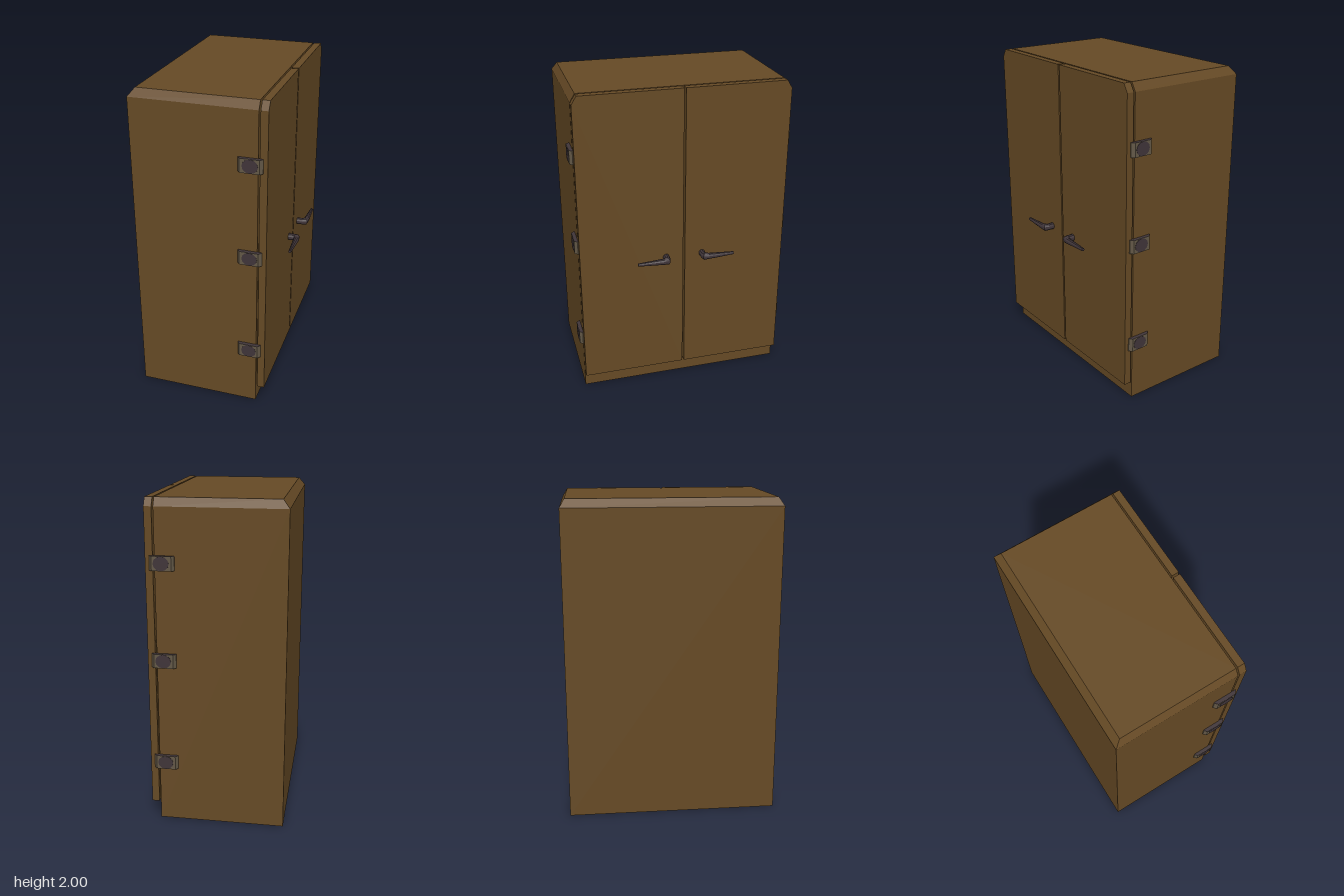
import * as THREE from 'three';

// Flat-shaded skin through equal-length rings of points, capped at the last ring
function loft(rings) {
  const pos = [];
  const tri = (...pts) => pts.forEach((p) => pos.push(...p));
  for (let i = 0; i < rings.length - 1; i++) {
    const a = rings[i], b = rings[i + 1], n = a.length;
    for (let j = 0; j < n; j++) {
      const k = (j + 1) % n;
      tri(a[j], a[k], b[k]);
      tri(a[j], b[k], b[j]);
    }
  }
  const end = rings[rings.length - 1];
  for (let j = 1; j < end.length - 1; j++) tri(end[0], end[j], end[j + 1]);
  const g = new THREE.BufferGeometry();
  g.setAttribute('position', new THREE.Float32BufferAttribute(pos, 3));
  g.computeVertexNormals();
  return g;
}

const rect = (x0, x1, z, y) => [[x0, y, -z], [x0, y, z], [x1, y, z], [x1, y, -z]];
const shape = (pts) => new THREE.Shape(pts.map(([x, y]) => new THREE.Vector2(x, y)));

function add(parent, name, geometry, material, x = 0, y = 0, z = 0) {
  const m = new THREE.Mesh(geometry, material);
  m.name = name;
  m.position.set(x, y, z);
  parent.add(m);
  return m;
}

export function createModel() {
  const brown = new THREE.MeshStandardMaterial({ color: 0x664a25, side: THREE.DoubleSide });
  brown.name = 'brown casing';
  const dark = new THREE.MeshStandardMaterial({ color: 0x403539 });
  dark.name = 'dark metal';
  const worn = new THREE.MeshStandardMaterial({ color: 0x635847 });
  worn.name = 'worn metal';

  const model = new THREE.Group();
  model.name = 'cabinet';

  // Casing: open underneath, top chamfered on the back and both sides
  add(model, 'casing', loft([
    rect(-0.45, 0.317, 0.66, 0),
    rect(-0.45, 0.317, 0.66, 1.95),
    rect(-0.41, 0.317, 0.63, 2),
  ]), brown);

  // Raised floor inside the open base
  add(model, 'floor', new THREE.BoxGeometry(0.58, 0.02, 1.24), brown, 0.025, 0.23, 0);

  // Lower strip between casing and doors
  add(model, 'doorSeal', new THREE.BoxGeometry(0.012, 1.04, 1.26), brown, 0.322, 0.64, 0);

  // Door panel with a clipped upper outer corner
  const doorGeo = new THREE.ExtrudeGeometry(
    shape([[0.006, 0.11], [0.66, 0.11], [0.66, 1.95], [0.63, 2], [0.006, 2]]),
    { depth: 0.045, bevelEnabled: false }).rotateY(Math.PI / 2);

  // Hinge block: tapered in plan, dark ends and worn faces
  const hingeGeo = new THREE.ExtrudeGeometry(
    shape([[0.2, 0.655], [0.347, 0.655], [0.347, 0.665], [0.33, 0.683], [0.215, 0.683], [0.2, 0.665]]),
    { depth: 0.086, bevelEnabled: false }).rotateX(-Math.PI / 2);
  const discGeo = new THREE.CylinderGeometry(0.047, 0.047, 0.004, 12)
    .rotateX(Math.PI / 2).scale(1, 0.9, 1);

  // Handle: stem out of the door, elbow, tapering lever (x, z, radius, tangent angle)
  const path = [
    [0.368, -0.117, 0.02, 0],
    [0.41, -0.117, 0.02, 0],
    [0.425, -0.124, 0.023, 0.8],
    [0.428, -0.145, 0.018, 1.57],
    [0.428, -0.31, 0.009, 1.57],
  ];
  const handleGeo = loft(path.map(([x, z, r, angle]) => {
    const tx = Math.cos(angle), tz = -Math.sin(angle);
    return Array.from({ length: 10 }, (_, i) => {
      const a = (i / 10) * Math.PI * 2, s = r * Math.sin(a);
      return [x - tz * s, 0.92 + r * 1.1 * Math.cos(a), z + tx * s];
    });
  }));

  // Each half carries one door, its handle and three hinges
  for (const [side, mirror] of [['right', 1], ['left', -1]]) {
    const half = new THREE.Group();
    half.name = side + 'DoorHalf';
    half.scale.z = mirror;
    add(half, 'door', doorGeo, brown, 0.327);
    add(half, 'handle', handleGeo, dark);
    for (const y of [1.63, 1.045, 0.39]) {
      add(half, 'hinge', hingeGeo, [dark, worn], 0, y - 0.043, 0);
      add(half, 'hingeDisc', discGeo, dark, 0.275, y, -0.683);
    }
    model.add(half);
  }
  return model;
}
